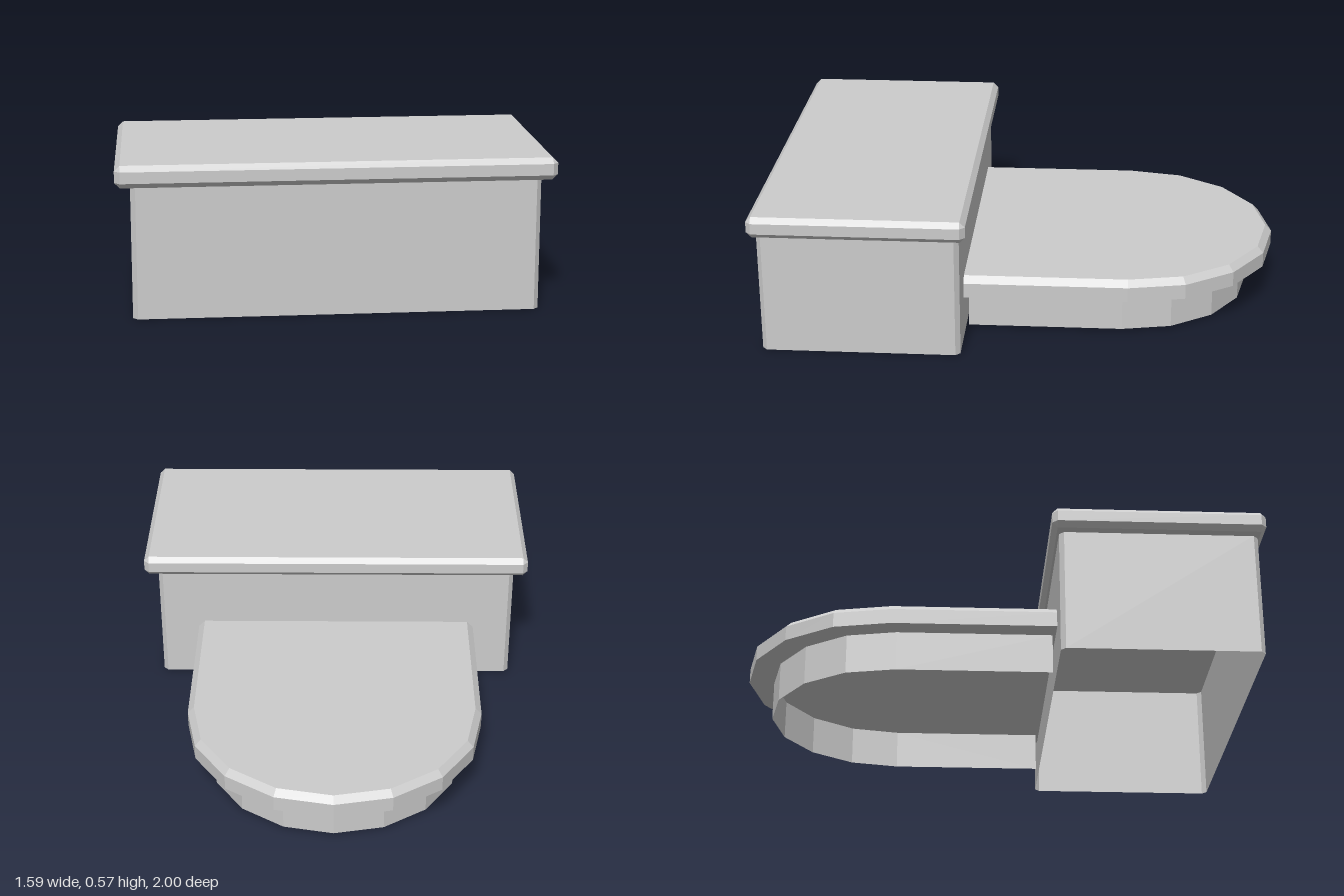
import * as THREE from 'three';

const material = new THREE.MeshStandardMaterial({ color: 0xcccccc, flatShading: true });
const openMaterial = new THREE.MeshStandardMaterial({ color: 0xcccccc, flatShading: true, side: THREE.DoubleSide });

// Rectangle with cut corners as [x, z] points, counter-clockwise seen from above
function cutRectangle(halfWidth, back, front, cut) {
  const w = halfWidth, c = cut;
  return [
    [w - c, front], [w, front - c], [w, back + c], [w - c, back],
    [-w + c, back], [-w, back + c], [-w, front - c], [-w + c, front],
  ];
}

// Straight sides running back into a half circle of eight segments
function arch(radius, centreZ, front) {
  const points = [[radius, front]];
  for (let i = 0; i <= 8; i++) {
    const a = (i / 8) * Math.PI;
    points.push([radius * Math.cos(a), centreZ - radius * Math.sin(a)]);
  }
  points.push([-radius, front]);
  return points;
}

// Joins outlines stacked at given heights; optional caps and closing wall
function loft(name, layers, { caps = true, closed = true } = {}) {
  const positions = [];
  const triangle = (...corners) => corners.forEach(([p, y]) => positions.push(p[0], y, p[1]));
  const count = layers[0].outline.length;

  for (let k = 0; k < layers.length - 1; k++) {
    const low = layers[k], high = layers[k + 1];
    for (let i = 0; i < (closed ? count : count - 1); i++) {
      const j = (i + 1) % count;
      const a = [low.outline[i], low.y], b = [low.outline[j], low.y];
      const c = [high.outline[j], high.y], d = [high.outline[i], high.y];
      triangle(a, b, c);
      triangle(a, c, d);
    }
  }
  if (caps) {
    const bottom = layers[0], top = layers[layers.length - 1];
    for (let i = 1; i < count - 1; i++) {
      triangle([bottom.outline[0], bottom.y], [bottom.outline[i + 1], bottom.y], [bottom.outline[i], bottom.y]);
      triangle([top.outline[0], top.y], [top.outline[i], top.y], [top.outline[i + 1], top.y]);
    }
  }

  const geometry = new THREE.BufferGeometry();
  geometry.setAttribute('position', new THREE.Float32BufferAttribute(positions, 3));
  geometry.computeVertexNormals();
  const mesh = new THREE.Mesh(geometry, caps ? material : openMaterial);
  mesh.name = name;
  return mesh;
}

export function createModel() {
  const group = new THREE.Group();
  group.name = 'steppedPlatform';

  // Tall block: hollow walls, open underneath
  const walls = cutRectangle(0.74, 0.212, 0.975, 0.018);
  group.add(loft('blockWalls', [{ outline: walls, y: 0 }, { outline: walls, y: 0.49 }], { caps: false }));

  // Overhanging top with bevels on every edge
  const rim = cutRectangle(0.795, 0.183, 1, 0.02);
  const inset = cutRectangle(0.775, 0.203, 0.98, 0);
  group.add(loft('blockTop', [
    { outline: inset, y: 0.488 },
    { outline: rim, y: 0.508 },
    { outline: rim, y: 0.55 },
    { outline: inset, y: 0.57 },
  ]));

  // Low step: thin skirt, open underneath and towards the block
  const skirt = arch(0.5, -0.4, 0.2);
  group.add(loft('stepSkirt', [{ outline: skirt, y: 0.01 }, { outline: skirt, y: 0.167 }], { caps: false, closed: false }));

  // Rounded step top with a bevelled upper edge
  const tread = arch(0.58, -0.42, 0.212);
  group.add(loft('stepTop', [
    { outline: tread, y: 0.167 },
    { outline: tread, y: 0.226 },
    { outline: arch(0.555, -0.42, 0.212), y: 0.251 },
  ]));

  return group;
}
